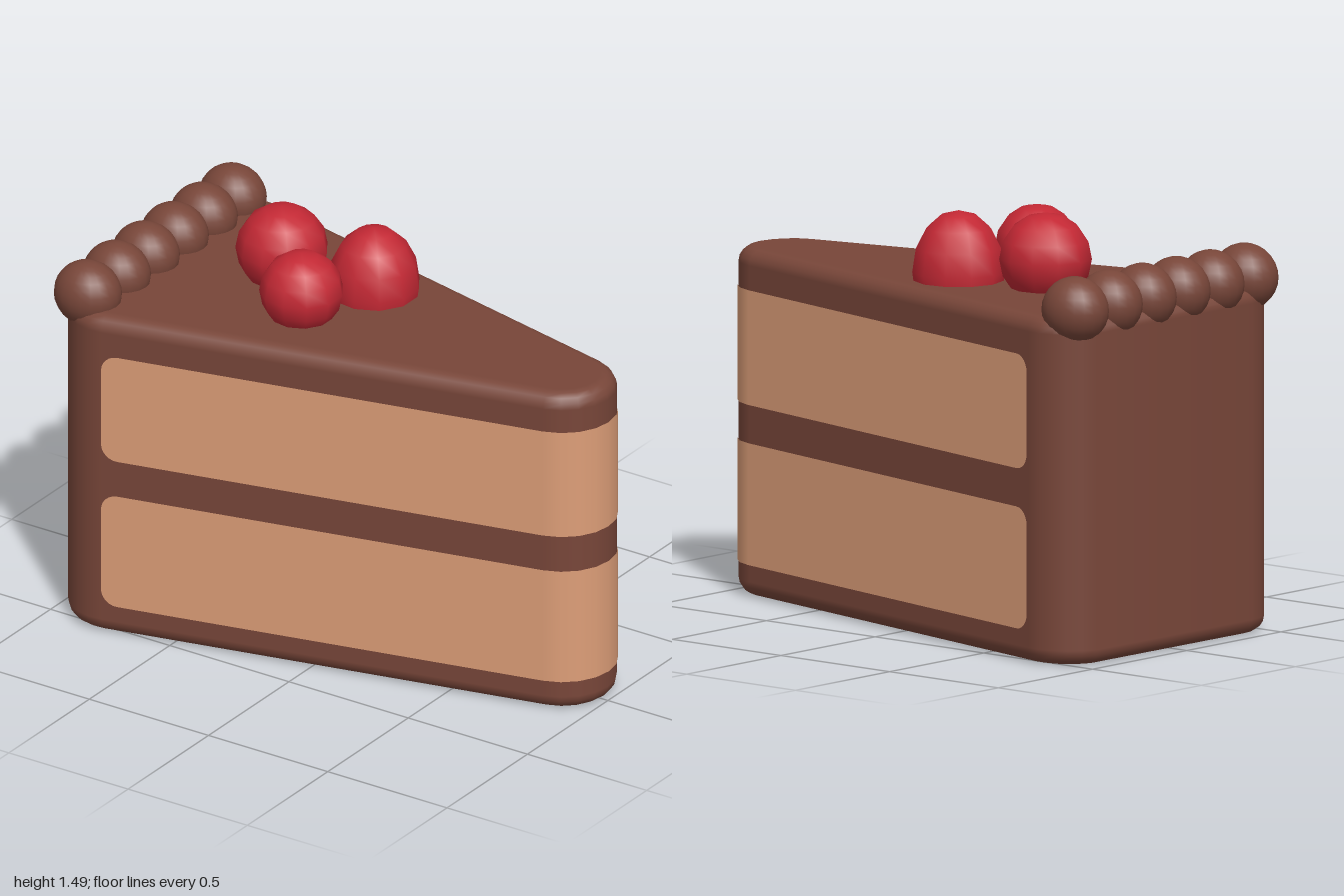
import * as THREE from 'three';

const SIDE = THREE.MathUtils.degToRad(77); // direction the slanted sides face
const HEIGHT = 1.225;
const BEVEL = 0.055;

const mat = (name, color) => Object.assign(new THREE.MeshStandardMaterial({ color }), { name });

// Points on an arc of the plan outline, each with its outward direction
function arc(cx, cz, r, from, to, steps) {
  return Array.from({ length: steps + 1 }, (_, i) => {
    const a = from + ((to - from) * i) / steps;
    const nx = Math.cos(a), nz = Math.sin(a);
    return { x: cx + r * nx, z: cz + r * nz, nx, nz };
  });
}

const tip = () => arc(0.81, 0, 0.19, -SIDE, SIDE, 8);
const cornerA = () => arc(-0.79, 0.38, 0.18, SIDE, Math.PI, 6);
const cornerB = () => arc(-0.79, -0.38, 0.18, Math.PI, 2 * Math.PI - SIDE, 6);

// Skin over rings of vertices listed from bottom to top
function skin(rings) {
  const pos = [], nor = [], idx = [];
  const n = rings[0].length;
  rings.forEach((ring, j) => ring.forEach((v, i) => {
    pos.push(...v.p);
    nor.push(...v.n);
    if (j + 1 < rings.length && i + 1 < n) {
      const a = j * n + i, b = a + 1, c = a + n, d = c + 1;
      idx.push(a, c, b, b, c, d);
    }
  }));
  const g = new THREE.BufferGeometry();
  g.setAttribute('position', new THREE.Float32BufferAttribute(pos, 3));
  g.setAttribute('normal', new THREE.Float32BufferAttribute(nor, 3));
  g.setIndex(idx);
  return g;
}

// Wedge wall with rounded top and bottom edges
function wallGeometry(outline) {
  const loop = [...outline, outline[0]];
  const rings = [];
  const ring = (angle, yMid) => {
    const c = Math.cos(angle), s = Math.sin(angle), inset = BEVEL * (1 - c);
    rings.push(loop.map((q) => ({
      p: [q.x - q.nx * inset, yMid + BEVEL * s, q.z - q.nz * inset],
      n: [q.nx * c, s, q.nz * c],
    })));
  };
  const steps = 4;
  for (let i = 0; i <= steps; i++) ring((-Math.PI / 2) * (1 - i / steps), BEVEL);
  for (let i = 0; i <= steps; i++) ring((Math.PI / 2) * (i / steps), HEIGHT - BEVEL);
  return skin(rings);
}

// Flat cap closing the wall
function capGeometry(outline, y, up) {
  const pos = [0, y, 0], idx = [], n = outline.length;
  outline.forEach((q, i) => {
    pos.push(q.x - q.nx * BEVEL, y, q.z - q.nz * BEVEL);
    const a = i + 1, b = ((i + 1) % n) + 1;
    idx.push(0, up ? b : a, up ? a : b);
  });
  const g = new THREE.BufferGeometry();
  g.setAttribute('position', new THREE.Float32BufferAttribute(pos, 3));
  g.setIndex(idx);
  g.computeVertexNormals();
  return g;
}

// Thin sponge layer wrapping both sides and the tip, with rounded ends
function spongeGeometry(y0, y1) {
  const r = 0.06, lift = 0.004, steps = 6;
  const start = cornerA()[0];
  const end = Array.from({ length: steps + 1 }, (_, i) => {
    const a = (Math.PI / 2) * (i / steps);
    const d = r * (1 - Math.cos(a));
    return { ...start, x: start.x + d * start.nz, z: start.z - d * start.nx, inset: r * (1 - Math.sin(a)) };
  });
  const mirrored = end.map((q) => ({ ...q, z: -q.z, nz: -q.nz }));
  const path = [...mirrored, ...tip(), ...end.reverse()];
  const ring = (y, sign) => path.map((q) => ({
    p: [q.x + q.nx * lift, y + sign * (q.inset || 0), q.z + q.nz * lift],
    n: [q.nx, 0, q.nz],
  }));
  return skin([ring(y0, 1), ring(y1, -1)]);
}

export function createModel() {
  const model = new THREE.Group();
  model.name = 'cakeSlice';
  const frosting = mat('chocolateFrosting', 0x784639);
  const sponge = mat('sponge', 0xdd9e78);
  const red = mat('cherryRed', 0xc32834);

  const add = (name, geometry, material, parent = model) => {
    const mesh = new THREE.Mesh(geometry, material);
    mesh.name = name;
    parent.add(mesh);
    return mesh;
  };

  // Frosted wedge
  const outline = [...tip(), ...cornerA(), ...cornerB().slice(1)];
  const body = new THREE.Group();
  body.name = 'frostedWedge';
  model.add(body);
  add('wall', wallGeometry(outline), frosting, body);
  add('top', capGeometry(outline, HEIGHT, true), frosting, body);
  add('bottom', capGeometry(outline, 0, false), frosting, body);

  // Two sponge layers
  add('lowerSponge', spongeGeometry(0.115, 0.545), sponge);
  add('upperSponge', spongeGeometry(0.68, 1.085), sponge);

  // Piped frosting beads along the back edge
  const border = new THREE.Group();
  border.name = 'pipedBorder';
  model.add(border);
  const beadShape = new THREE.SphereGeometry(1, 20, 14);
  for (let i = 0; i < 6; i++) {
    const bead = add('frostingBead', beadShape, frosting, border);
    bead.position.set(-0.877, 1.247, -0.45 + i * 0.18);
    bead.scale.set(0.123, 0.118, 0.11);
  }

  // Cherries: x, y, z, radius, half height
  const cherryShape = new THREE.SphereGeometry(1, 11, 8);
  [
    [-0.42, 1.33, -0.08, 0.163, 0.16],
    [-0.19, 1.32, 0.14, 0.148, 0.145],
    [-0.085, 1.255, -0.155, 0.163, 0.215],
  ].forEach(([x, y, z, r, h]) => {
    const cherry = add('cherry', cherryShape, red);
    cherry.position.set(x, y, z);
    cherry.scale.set(r, h, r);
  });

  return model;
}
